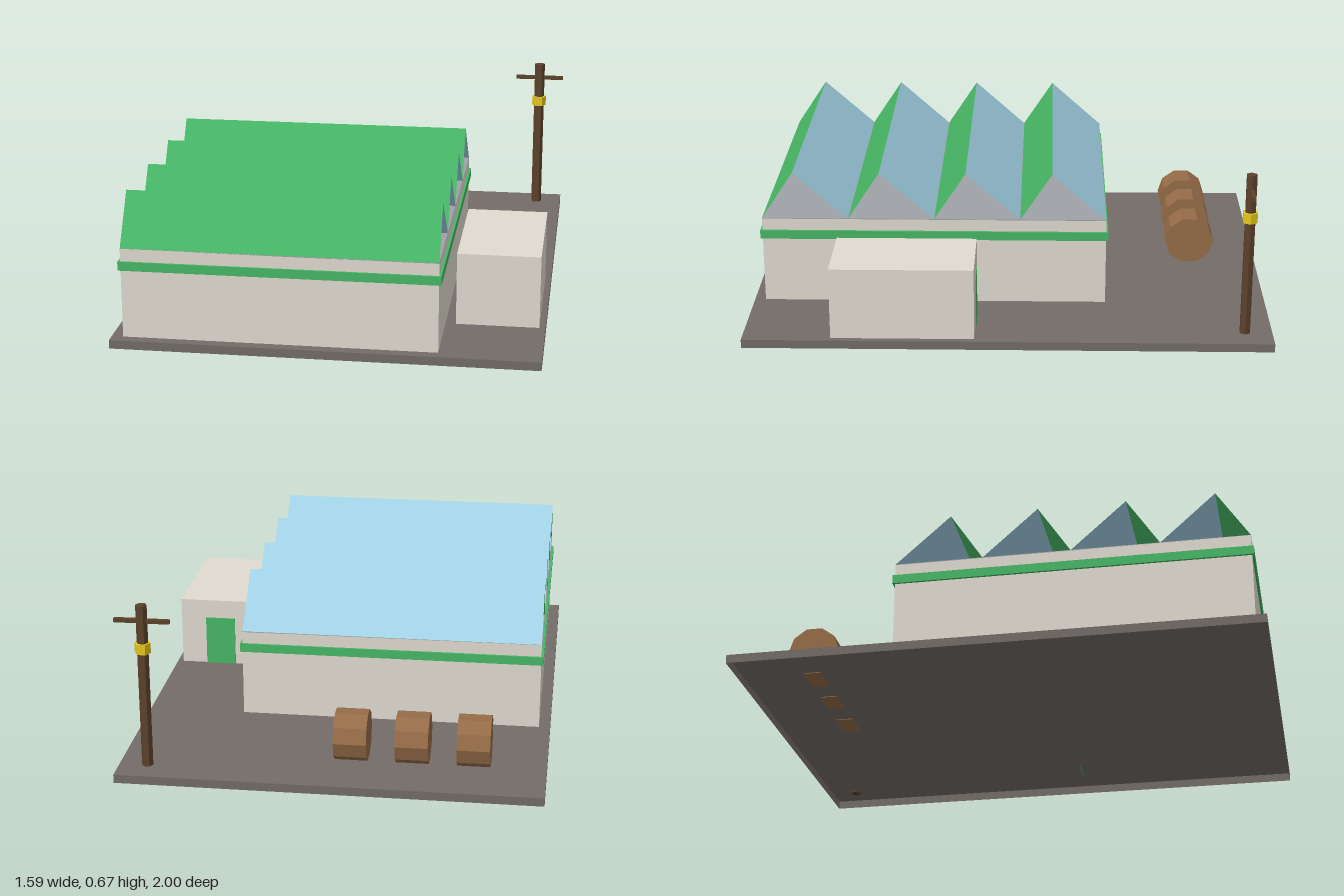
import * as THREE from 'three';

const mat = (name, color, side = THREE.FrontSide) => {
  const m = new THREE.MeshStandardMaterial({ color, side });
  m.name = name;
  return m;
};

export function createModel() {
  const ground = mat('asphalt', 0x736c67, THREE.DoubleSide);
  const wall = mat('plaster', 0xe0dad0);
  const deck = mat('roof deck grey', 0x9ea2a8);
  const green = mat('green paint', 0x47b766, THREE.DoubleSide);
  const glass = mat('skylight blue', 0xa0d0e4, THREE.DoubleSide);
  const rust = mat('barrel brown', 0x966c48);
  const timber = mat('dark timber', 0x5c422c);
  const yellow = mat('yellow band', 0xe6c81e);
  for (const m of [rust, timber, yellow]) m.flatShading = true;

  const model = new THREE.Group();
  model.name = 'factoryYard';

  const add = (name, geometry, material) => {
    const mesh = new THREE.Mesh(geometry, material);
    mesh.name = name;
    model.add(mesh);
    return mesh;
  };
  // Box given by its extents along each axis
  const box = (name, material, [x0, x1], [y0, y1], [z0, z1]) => {
    const mesh = add(name, new THREE.BoxGeometry(x1 - x0, y1 - y0, z1 - z0), material);
    mesh.position.set((x0 + x1) / 2, (y0 + y1) / 2, (z0 + z1) / 2);
    return mesh;
  };
  // The same box without its bottom face
  const openBox = (...args) => {
    const g = box(...args).geometry;
    g.setIndex([...g.index.array].filter((_, i) => i < 18 || i >= 24));
    g.clearGroups();
  };

  // Ground is a shallow tray, open underneath
  const top = 0.033;
  openBox('groundSlab', ground, [-0.793, 0.793], [0, top], [-1, 1]);

  // Main hall with a painted band around it
  const x0 = -0.75, x1 = 0.418, z0 = -0.375, z1 = 0.958, eave = 0.376, ridge = 0.563;
  openBox('hallWalls', wall, [x0, x1], [top, eave], [z0, z1]);
  box('roofDeck', deck, [x0, x1], [eave - 0.002, eave + 0.001], [z0, z1]);
  box('hallBand', green, [x0 - 0.009, x1 + 0.009], [0.294, 0.328], [z0 - 0.008, z1 + 0.008]);

  // Sawtooth roof of thin sheets, open at the ends
  const sheet = (name, material, ya, za, yb, zb) => {
    const g = new THREE.BufferGeometry();
    g.setAttribute('position', new THREE.Float32BufferAttribute(
      [x0, ya, za, x0, yb, zb, x1, yb, zb, x1, ya, za], 3));
    g.setIndex([0, 1, 2, 0, 2, 3]);
    g.computeVertexNormals();
    add(name, g, material);
  };
  const teeth = 4, pitch = (z1 - z0) / teeth;
  for (let i = 0; i < teeth; i++) {
    const za = z0 + i * pitch, zr = za + pitch * 0.63;
    sheet('roofSkylight', glass, eave, za, ridge, zr);
    sheet('roofSlope', green, ridge, zr, eave, za + pitch);
  }

  // Side office with a door at its back
  openBox('office', wall, [0.457, 0.77], [top, 0.312], [0.125, 0.666]);
  box('officeDoor', green, [0.545, 0.667], [top, 0.235], [0.121, 0.126]);

  // Barrels lying on their sides, sunk slightly into the ground
  for (const x of [-0.522, -0.292, -0.062]) {
    const barrel = add('barrel', new THREE.CylinderGeometry(0.098, 0.098, 0.124, 10), rust);
    barrel.rotation.z = Math.PI / 2;
    barrel.position.set(x, 0.1235, -0.73);
  }

  // Utility pole
  const px = 0.687, pz = -0.896;
  const hex = (name, material, r, y0, y1) => {
    const m = add(name, new THREE.CylinderGeometry(r, r, y1 - y0, 6), material);
    m.rotation.y = Math.PI / 6;
    m.position.set(px, (y0 + y1) / 2, pz);
  };
  hex('pole', timber, 0.0215, 0.025, 0.668);
  hex('poleCollar', yellow, 0.03, 0.482, 0.522);
  box('poleCrossarm', timber, [px - 0.103, px + 0.103], [0.599, 0.614], [pz - 0.008, pz + 0.008]);

  return model;
}
